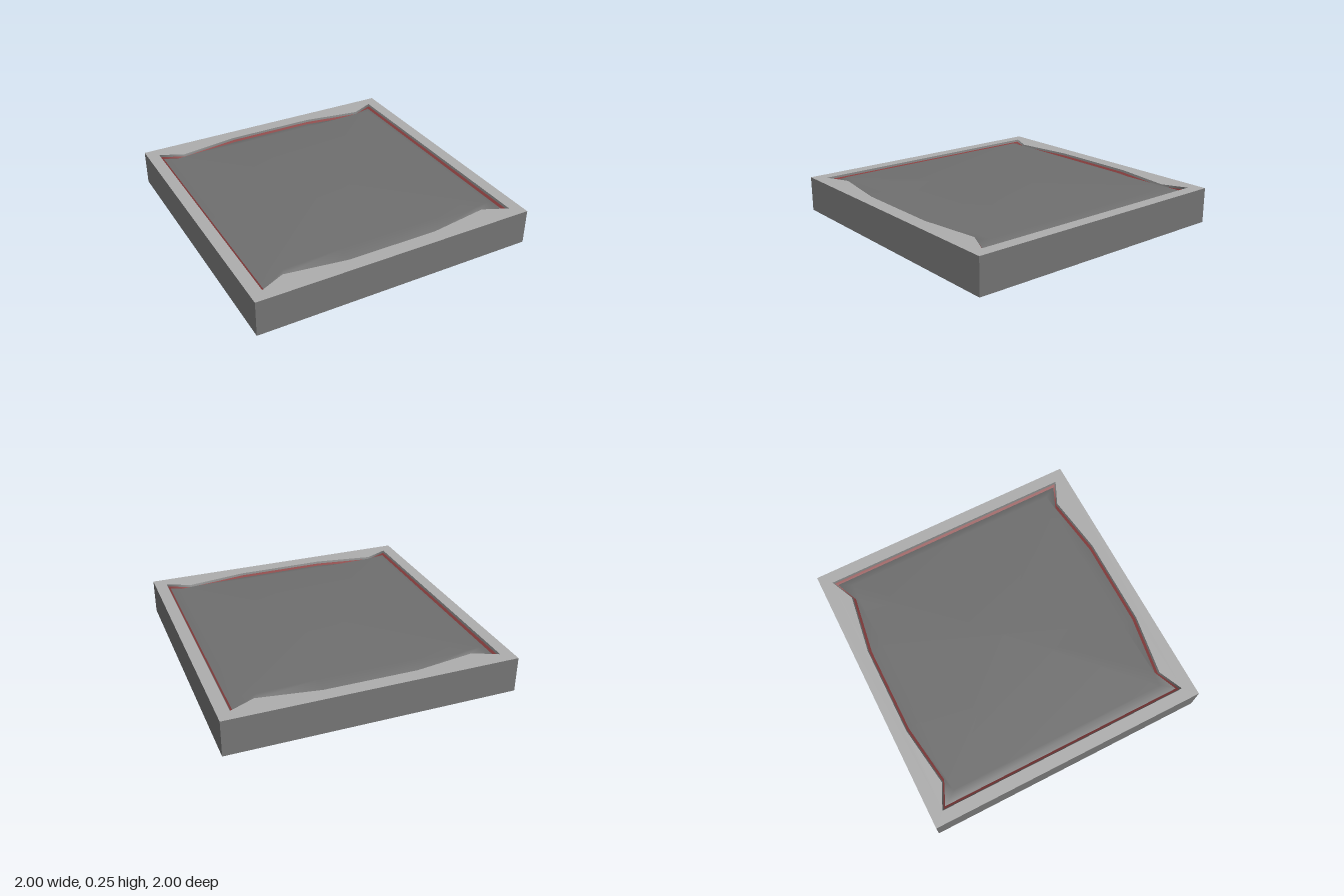
import * as THREE from 'three';

// Mirrors one quarter of an outline into a full counter-clockwise loop.
function mirrorLoop(quarter) {
  const back = quarter.map(([x, y]) => [-x, y]).reverse();
  const half = [...quarter, ...back];
  return [...half, ...half.map(([x, y]) => [-x, -y])];
}

// Skins nested loops lying at given heights; an optional crown closes the middle.
function skin(loops, heights, crown) {
  const pos = [], index = [], n = loops[0].length;
  loops.forEach((loop, k) => loop.forEach(([x, y]) => pos.push(x, heights[k], -y)));
  for (let k = 0; k < loops.length - 1; k++) {
    for (let i = 0; i < n; i++) {
      const a = k * n + i, b = k * n + (i + 1) % n;
      index.push(a, b, b + n, a, b + n, a + n);
    }
  }
  if (crown !== undefined) {
    const base = (loops.length - 1) * n;
    pos.push(0, crown, 0);
    for (let i = 0; i < n; i++) index.push(base + i, base + (i + 1) % n, base + n);
  }
  const g = new THREE.BufferGeometry();
  g.setAttribute('position', new THREE.Float32BufferAttribute(pos, 3));
  g.setIndex(index);
  g.computeVertexNormals();
  return g;
}

export function createModel() {
  const group = new THREE.Group();
  const lightGrey = new THREE.MeshStandardMaterial({ color: 0xadadad });
  const darkGrey = new THREE.MeshStandardMaterial({ color: 0x737373 });
  const cushionGrey = new THREE.MeshStandardMaterial({ color: 0x6f6f6f, side: THREE.DoubleSide });
  const red = new THREE.MeshStandardMaterial({ color: 0x843c3c, side: THREE.DoubleSide });
  const add = (name, geometry, material) => {
    const mesh = new THREE.Mesh(geometry, material);
    mesh.name = name;
    group.add(mesh);
    return mesh;
  };

  // Outlines from the opening inwards: rim, wall foot, trim edge, cushion shoulder
  const opening = mirrorLoop([[0.915, 0.915], [0.745, 0.837], [0.32, 0.9]]);
  const wallFoot = mirrorLoop([[0.908, 0.902], [0.742, 0.829], [0.318, 0.893]]);
  const trimEdge = mirrorLoop([[0.892, 0.885], [0.73, 0.815], [0.31, 0.877]]);
  const shoulder = mirrorLoop([[0.83, 0.79], [0.72, 0.8], [0.31, 0.785]]);

  // Solid base block
  add('base', new THREE.BoxGeometry(2, 0.2, 2), darkGrey).position.y = 0.1;

  // Rim around the shaped opening: light top, dark sides
  const rim = new THREE.Shape([[-1, -1], [1, -1], [1, 1], [-1, 1]].map(p => new THREE.Vector2(...p)));
  rim.holes.push(new THREE.Path(opening.map(p => new THREE.Vector2(...p))));
  const rimGeometry = new THREE.ExtrudeGeometry(rim, { depth: 0.05, bevelEnabled: false });
  rimGeometry.rotateX(-Math.PI / 2);
  add('rim', rimGeometry, [lightGrey, darkGrey]).position.y = 0.2;

  // Steep dark wall inside the rim
  add('innerWall', skin([opening, wallFoot], [0.25, 0.236]), darkGrey);

  // Narrow red trim sloping down to the cushion
  add('redTrim', skin([wallFoot, trimEdge], [0.236, 0.225]), red);

  // Softly domed cushion
  add('cushion', skin([trimEdge, shoulder], [0.225, 0.253], 0.255), cushionGrey);

  return group;
}
